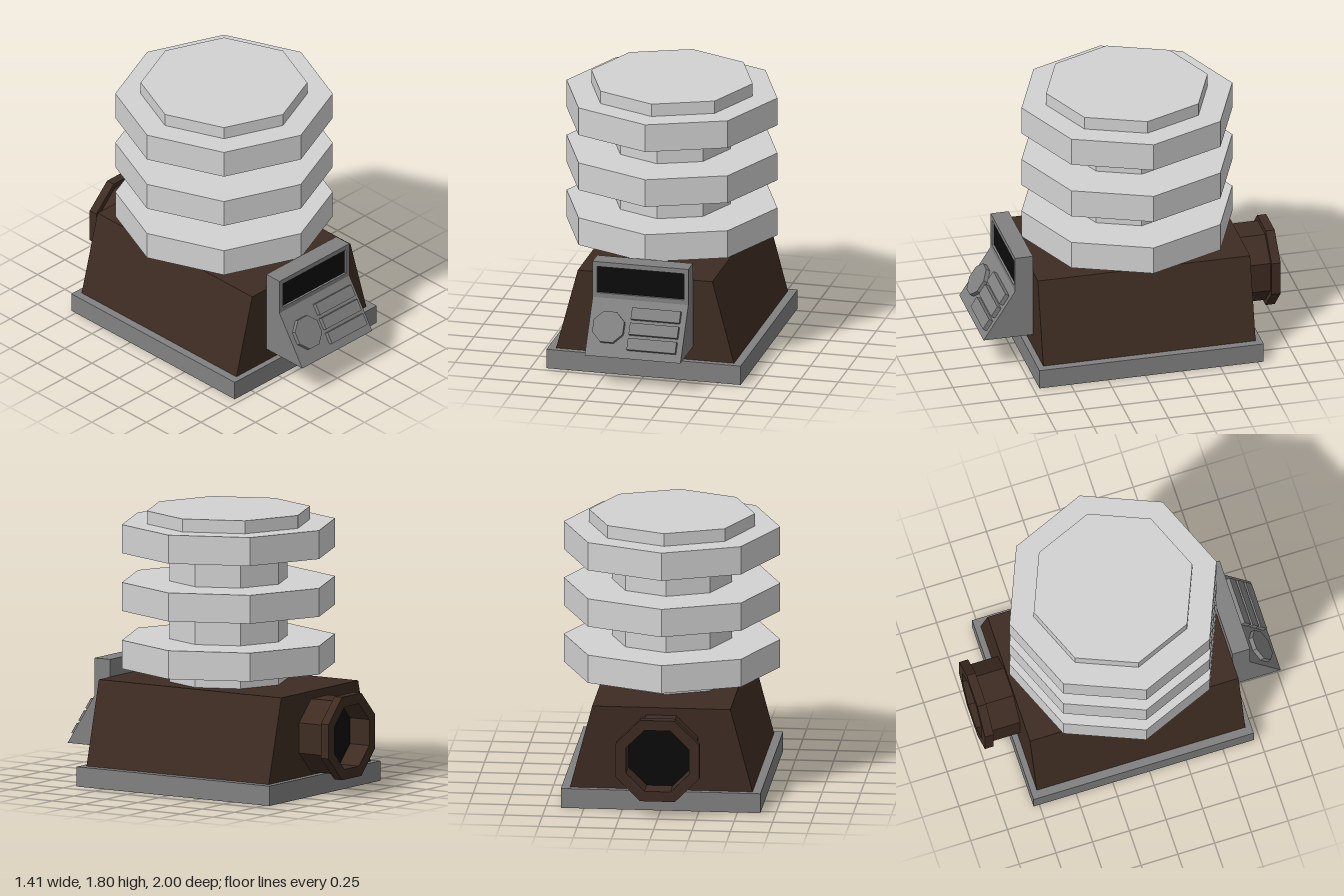
import * as THREE from 'three';

const material = (name, color) => {
  const m = new THREE.MeshStandardMaterial({ color, flatShading: true });
  m.name = name;
  return m;
};

export function createModel() {
  const lightGrey = material('light grey', 0xd2d2d2);
  const grey = material('mid grey', 0x818181);
  const brown = material('dark brown', 0x3e2c22);
  const black = material('black', 0x0b0b0b);
  const model = new THREE.Group();
  model.name = 'machine';

  const add = (name, geometry, mat, x = 0, y = 0, z = 0, parent = model) => {
    const mesh = new THREE.Mesh(geometry, mat);
    mesh.name = name;
    mesh.position.set(x, y, z);
    parent.add(mesh);
    return mesh;
  };
  const polygon = (points) => new THREE.Shape(points.map(([x, y]) => new THREE.Vector2(x, y)));
  const rectangle = (x, y0, y1) => polygon([[-x, y0], [x, y0], [x, y1], [-x, y1]]);
  // Octagon with flat sides up, down, left and right, sized by its half width
  const octagon = (half) => polygon(Array.from({ length: 8 }, (_, i) => {
    const a = (i + 0.5) * Math.PI / 4;
    const r = half / Math.cos(Math.PI / 8);
    return [r * Math.cos(a), r * Math.sin(a)];
  }));
  const extrude = (shape, depth) => new THREE.ExtrudeGeometry(shape, { depth, bevelEnabled: false });

  // Base plate and tapered housing
  add('basePlate', new THREE.BoxGeometry(1.3, 0.13, 1.5), grey, 0, 0.065, -0.04);
  const housing = polygon([[-0.595, 0.13], [0.595, 0.13], [0.45, 0.68], [-0.45, 0.68]]);
  add('housing', extrude(housing, 1.42), brown, 0, 0, -0.75);

  // Eight-sided insulator tower
  const tower = new THREE.Group();
  tower.name = 'tower';
  tower.position.z = -0.04;
  model.add(tower);
  const drum = (name, r, y0, y1) =>
    add(name, new THREE.CylinderGeometry(r, r, y1 - y0, 8), lightGrey, 0, (y0 + y1) / 2, 0, tower);
  drum('towerCore', 0.39, 0.68, 1.72);
  for (let i = 0; i < 3; i++) drum('towerDisc', 0.705, 0.775 + i * 0.379, 0.962 + i * 0.379);
  drum('towerCap', 0.54, 1.72, 1.805);

  // Control console: side profile (z, y) swept across x
  const profile = polygon([[0.67, 0.22], [1, 0.22], [0.79, 0.55], [0.77, 0.55], [0.77, 0.795], [0.67, 0.795]]);
  const consoleBody = extrude(profile, 0.64);
  consoleBody.rotateY(-Math.PI / 2);
  add('consoleBody', consoleBody, grey, 0.32);
  const frame = rectangle(0.32, 0.55, 0.795);
  frame.holes.push(rectangle(0.29, 0.582, 0.762));
  add('screenFrame', extrude(frame, 0.02), grey, 0, 0, 0.77);
  add('screen', new THREE.BoxGeometry(0.58, 0.18, 0.006), black, 0, 0.672, 0.773);

  // Dial and bar keys on the sloping panel
  const panel = new THREE.Group();
  panel.name = 'controlPanel';
  panel.position.set(0, 0.385, 0.895);
  panel.rotation.x = -Math.atan2(0.21, 0.33);
  model.add(panel);
  add('dial', extrude(octagon(0.102), 0.03), grey, -0.183, 0, 0, panel);
  for (const y of [0.103, 0.001, -0.101])
    add('barKey', new THREE.BoxGeometry(0.325, 0.078, 0.03), grey, 0.1205, y, 0.015, panel);

  // Hollow outlet pipe at the rear
  const ring = (name, half, depth, z) => {
    const shape = octagon(half);
    shape.holes.push(octagon(0.205));
    add(name, extrude(shape, depth), brown, 0, 0.39, z);
  };
  ring('outletPipe', 0.24, 0.19, -0.94);
  ring('outletFlange', 0.272, 0.06, -1);
  add('outletOpening', extrude(octagon(0.205), 0.006), black, 0, 0.39, -0.85);

  return model;
}
